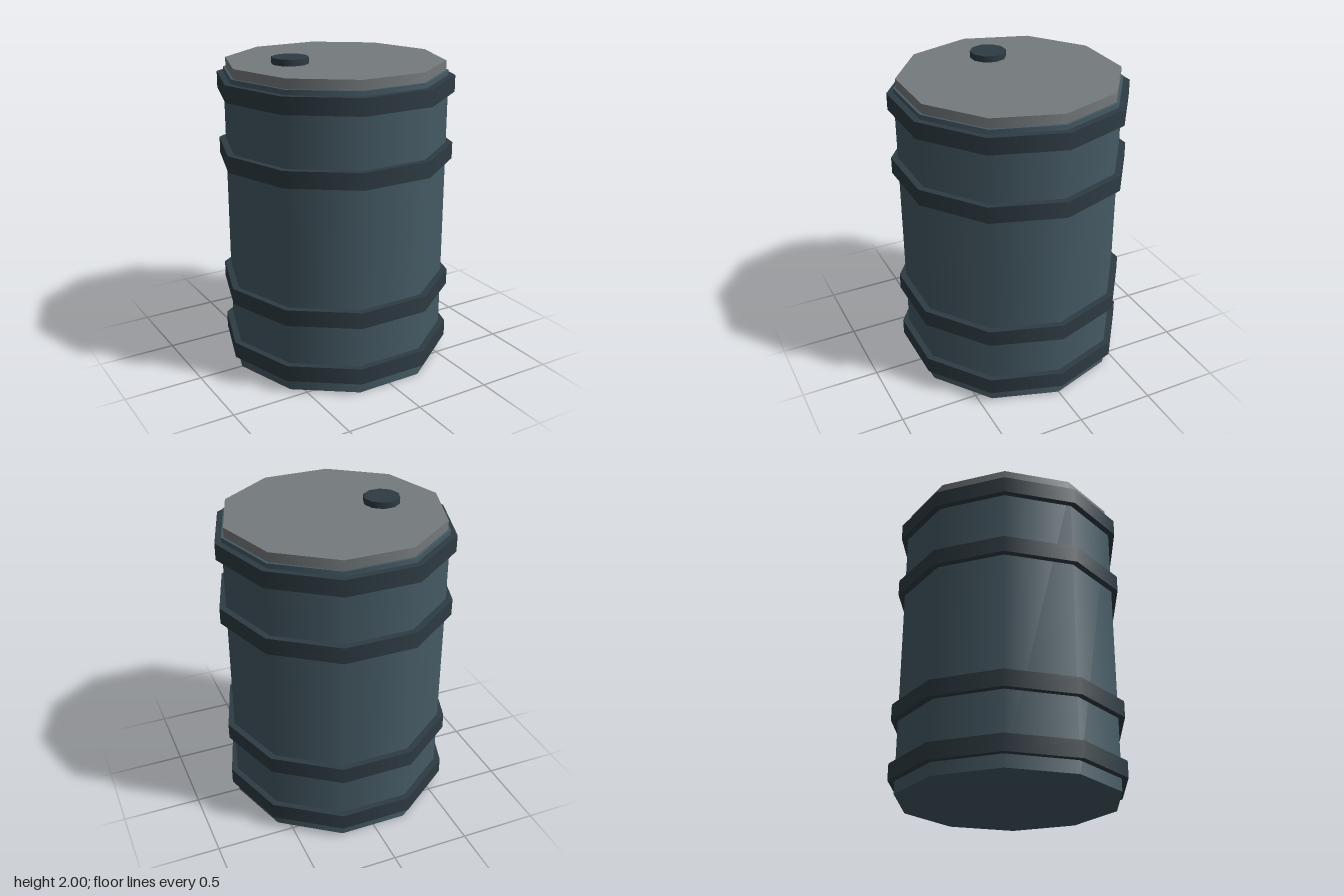
import * as THREE from 'three';

const SIDES = 10;

export function createModel() {
  const model = new THREE.Group();
  model.name = 'barrel';

  const bodyPaint = new THREE.MeshStandardMaterial({ color: 0x455a64 });
  const darkPaint = new THREE.MeshStandardMaterial({ color: 0x2e3b43 });
  const lidPaint = new THREE.MeshStandardMaterial({ color: 0x757a7c });

  // Ten-sided disc between two heights, with corners on the x axis
  function drum(name, radius, bottom, top, material, x = 0) {
    const geometry = new THREE.CylinderGeometry(radius, radius, top - bottom, SIDES, 1, false, Math.PI / 2);
    const mesh = new THREE.Mesh(geometry, material);
    mesh.name = name;
    mesh.position.set(x, (bottom + top) / 2, 0);
    model.add(mesh);
  }

  drum('body', 0.708, 0, 1.9, bodyPaint);
  drum('lid', 0.692, 1.88, 1.96, lidPaint);

  // Raised hoops around the body
  [0.08, 0.46, 1.335, 1.765].forEach((y, i) => drum(`hoop${i + 1}`, 0.75, y, y + 0.105, darkPaint));

  // Filler cap, off-centre on the lid
  drum('fillerCap', 0.115, 1.94, 2, darkPaint, -0.315);

  return model;
}
